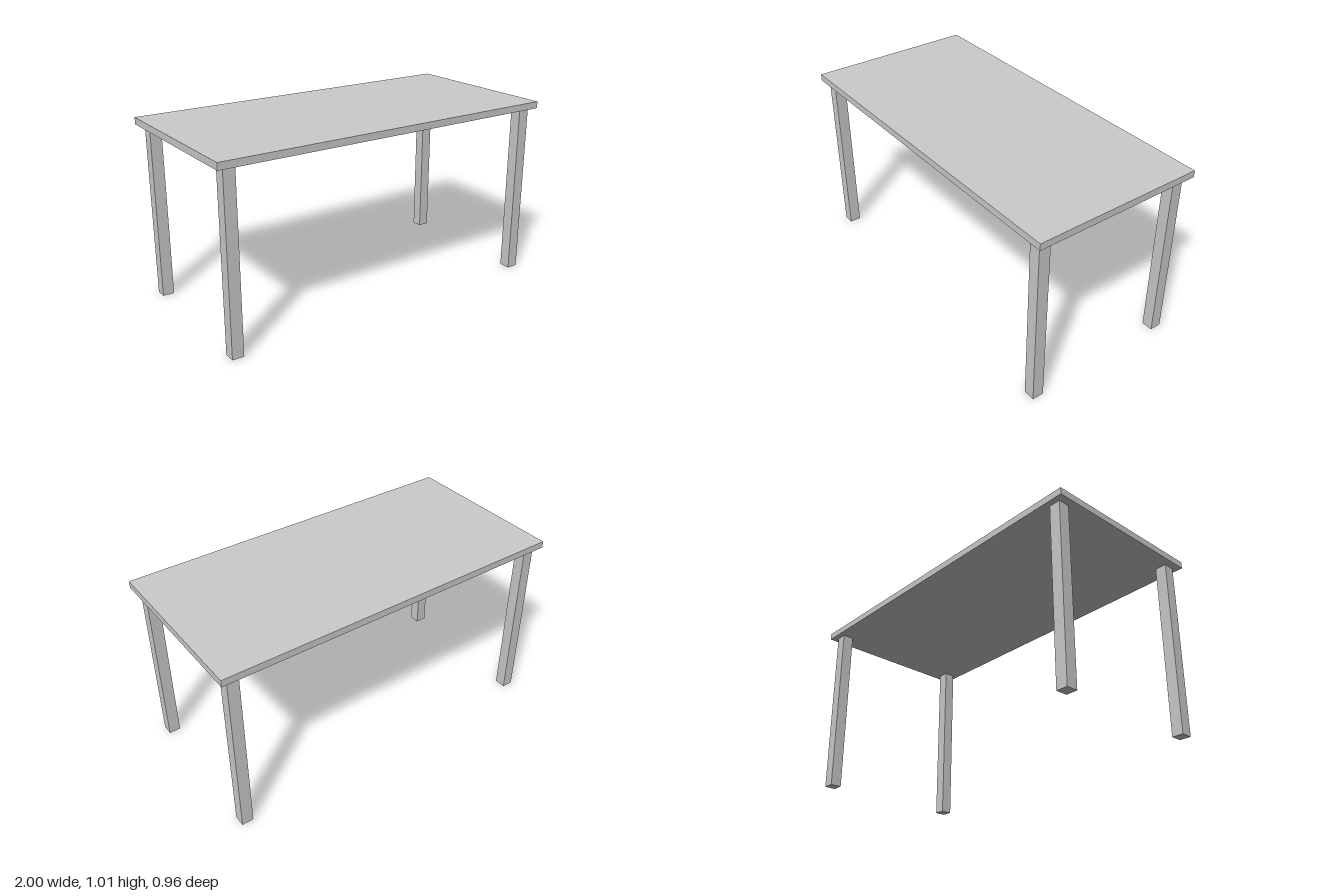
import * as THREE from 'three';

export function createModel() {
  const table = new THREE.Group();
  table.name = 'table';
  const material = new THREE.MeshStandardMaterial({ color: 0xcccccc });

  const legHeight = 0.975, legWidth = 0.064, topThickness = 0.038;

  // Flat rectangular top
  const top = new THREE.Mesh(new THREE.BoxGeometry(2, topThickness, 0.957), material);
  top.name = 'tableTop';
  top.position.y = legHeight + topThickness / 2;
  table.add(top);

  // Four square legs, set in slightly from the corners
  const legGeometry = new THREE.BoxGeometry(legWidth, legHeight, legWidth);
  for (const [side, x] of [['Left', 0.928], ['Right', -0.928]]) {
    for (const [end, z] of [['front', 0.415], ['back', -0.415]]) {
      const leg = new THREE.Mesh(legGeometry, material);
      leg.name = `${end}${side}Leg`;
      leg.position.set(x, legHeight / 2, z);
      table.add(leg);
    }
  }
  return table;
}
